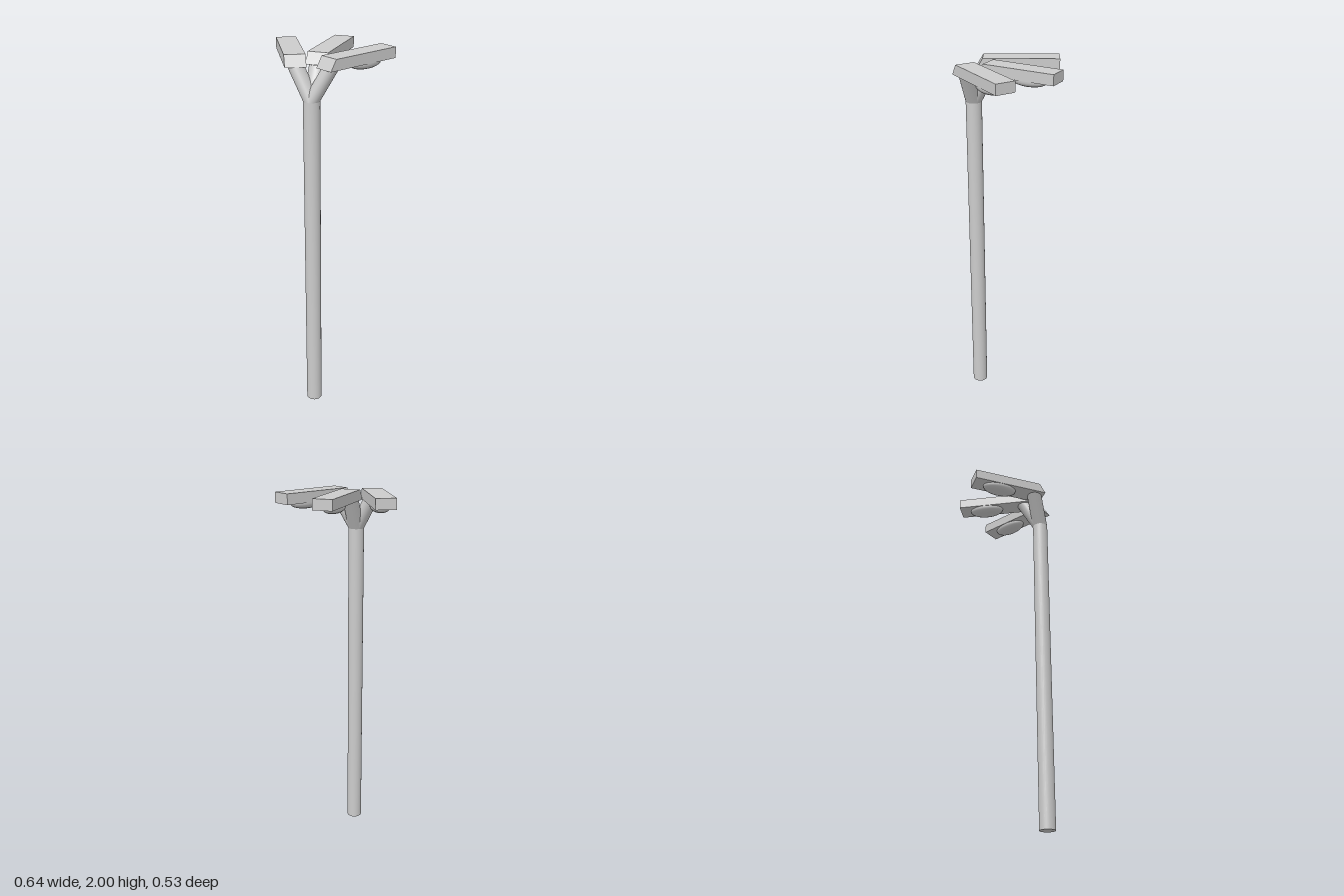
import * as THREE from 'three';

const POLE_Z = 0.215, POLE_R = 0.042, POLE_TOP = 1.785, HEAD_Y = 1.945;
const material = new THREE.MeshStandardMaterial({ color: 0xcccccc, side: THREE.DoubleSide });

function part(name, geometry) {
  const mesh = new THREE.Mesh(geometry, material);
  mesh.name = name;
  return mesh;
}

// Cylinder sheared so both ends stay level: from the pole top to (x, z) under a head
function armGeometry(x, z) {
  const h = HEAD_Y - POLE_TOP;
  const g = new THREE.CylinderGeometry(POLE_R, POLE_R, h, 32, 1, true);
  g.translate(0, h / 2, 0);
  g.applyMatrix4(new THREE.Matrix4().set(
    1, x / h, 0, 0,
    0, 1, 0, 0,
    0, (z - POLE_Z) / h, 1, 0,
    0, 0, 0, 1));
  return g.translate(0, POLE_TOP, POLE_Z);
}

// Slab with a slanted rear end, running along -z from its rear bottom edge
function housingGeometry() {
  const length = 0.426, width = 0.104, height = 0.055;
  const side = new THREE.Shape([
    new THREE.Vector2(0, 0), new THREE.Vector2(length, 0),
    new THREE.Vector2(length, height), new THREE.Vector2(0.034, height)]);
  const g = new THREE.ExtrudeGeometry(side, { depth: width, bevelEnabled: false });
  return g.translate(0, 0, -width / 2).rotateY(Math.PI / 2);
}

// Shallow oval bowl below the housing
function lensGeometry() {
  const profile = [];
  for (let i = 0; i <= 10; i++) {
    const a = (i / 10) * Math.PI / 2;
    profile.push(new THREE.Vector2(Math.sin(a) ** 0.9, -(Math.cos(a) ** 0.85)));
  }
  return new THREE.LatheGeometry(profile, 40).scale(0.05, 0.035, 0.098);
}

export function createModel() {
  const model = new THREE.Group();
  model.name = 'streetLamp';

  const pole = part('pole', new THREE.CylinderGeometry(POLE_R, POLE_R, POLE_TOP, 32));
  pole.position.set(0, POLE_TOP / 2, POLE_Z);
  model.add(pole);

  // Three lamps: [name, rear x, rear z, turn, arm end x, arm end z]
  const lamps = [
    ['middle', 0, 0.16, 0, 0, 0.125],
    ['left', 0.07, 0.238, -0.505, 0.089, 0.195],
    ['right', -0.07, 0.238, 0.505, -0.089, 0.195],
  ];
  for (const [name, x, z, turn, armX, armZ] of lamps) {
    model.add(part(name + 'Arm', armGeometry(armX, armZ)));
    const head = new THREE.Group();
    head.name = name + 'LampHead';
    head.position.set(x, HEAD_Y, z);
    head.rotation.y = turn;
    const lens = part('lens', lensGeometry());
    lens.position.z = -0.268;
    head.add(part('housing', housingGeometry()), lens);
    model.add(head);
  }
  return model;
}
